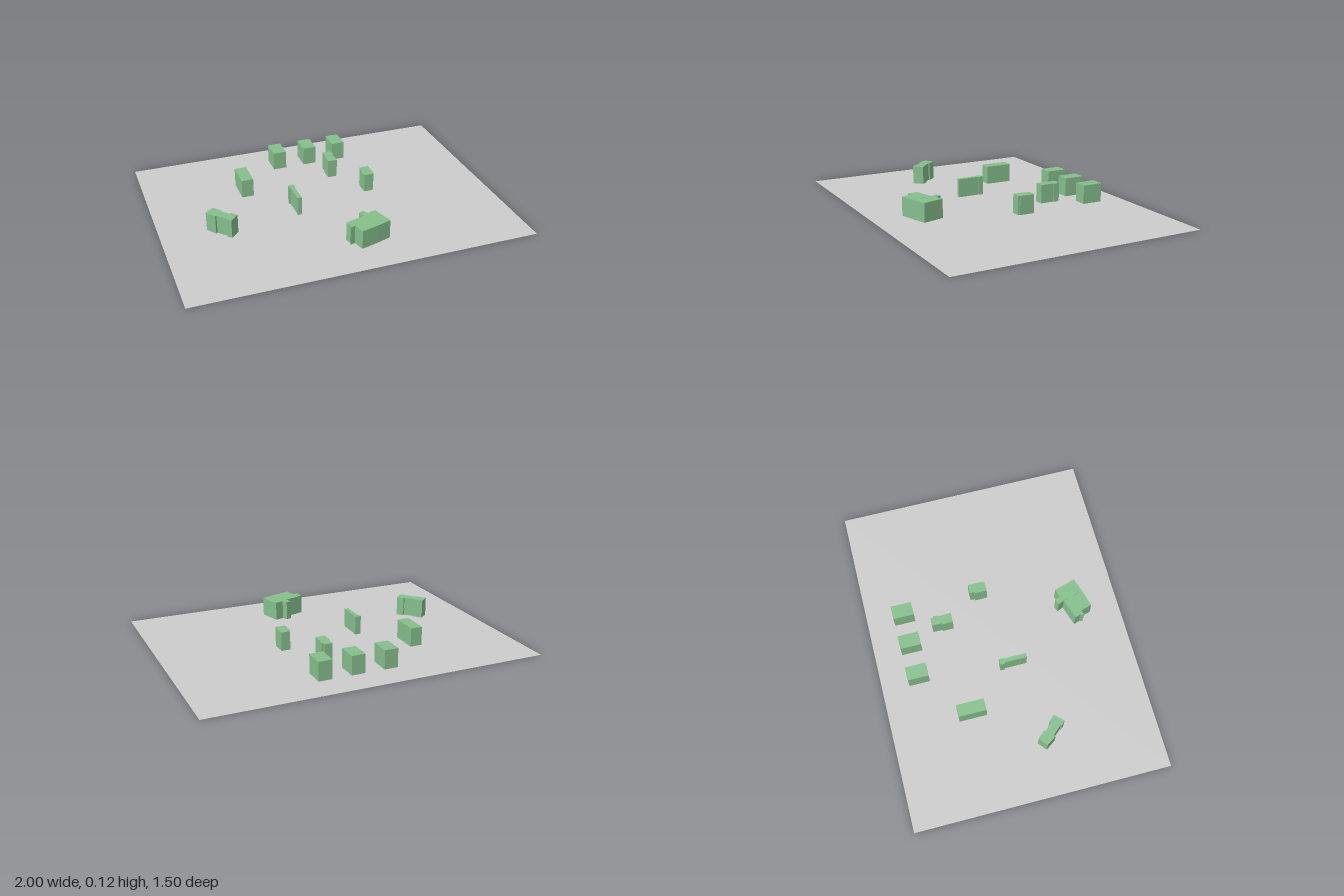
import * as THREE from 'three';

const BASE = 0.008, TOP = 0.12;

// Footprints as [x, z] corners
const footprints = {
  northEastHouse: [[.128, -.377], [.176, -.377], [.176, -.36], [.184, -.36], [.184, -.337], [.178, -.337], [.178, -.253], [.121, -.253], [.121, -.321], [.128, -.321]],
  eastHouse: [[.273, -.112], [.327, -.112], [.327, -.021], [.321, -.021], [.321, -.011], [.265, -.011], [.265, -.085], [.273, -.085]],
  narrowHouse: [[-.207, -.048], [-.171, -.048], [-.171, -.021], [-.175, -.021], [-.175, .112], [-.2, .112], [-.2, -.021], [-.207, -.021]],
  angledHouse: [[-.733, .088], [-.684, .048], [-.647, .091], [-.652, .096], [-.610, .144], [-.6, .136], [-.572, .171], [-.620, .219], [-.642, .198], [-.636, .193], [-.684, .139], [-.693, .146]],
  frontHouseLeft: [[-.034, .455], [.086, .417], [.118, .54], [.018, .567], [0, .5], [-.029, .509], [-.023, .487]],
  frontHouseRight: [[.089, .422], [.07, .38], [.102, .368], [.116, .401], [.166, .385], [.203, .513], [.118, .54]],
};

// Rectangular blocks as [name, centre x, centre z, width, depth]
const boxes = [
  ['backHouseRight', -.125, -.528, .081, .123],
  ['backHouseMiddle', .073, -.528, .081, .123],
  ['backHouseLeft', .266, -.528, .081, .123],
  ['westHouse', -.413, -.274, .071, .163],
];

export function createModel() {
  const group = new THREE.Group();
  const groundMaterial = new THREE.MeshStandardMaterial({ color: 0xcccccc, side: THREE.DoubleSide });
  groundMaterial.name = 'ground grey';
  const houseMaterial = new THREE.MeshStandardMaterial({ color: 0x86bf8c });
  houseMaterial.name = 'house green';

  const add = (name, geometry, material) => {
    const mesh = new THREE.Mesh(geometry, material);
    mesh.name = name;
    group.add(mesh);
    return mesh;
  };

  // Flat site
  add('ground', new THREE.PlaneGeometry(2, 1.5).rotateX(-Math.PI / 2), groundMaterial);

  // Plain blocks
  for (const [name, x, z, w, d] of boxes) {
    add(name, new THREE.BoxGeometry(w, TOP - BASE, d), houseMaterial).position.set(x, (TOP + BASE) / 2, z);
  }

  // Blocks with stepped outlines, raised from their footprints
  for (const [name, corners] of Object.entries(footprints)) {
    const shape = new THREE.Shape(corners.map(([x, z]) => new THREE.Vector2(x, -z)));
    const geometry = new THREE.ExtrudeGeometry(shape, { depth: TOP - BASE, bevelEnabled: false });
    add(name, geometry.rotateX(-Math.PI / 2), houseMaterial).position.y = BASE;
  }
  return group;
}
